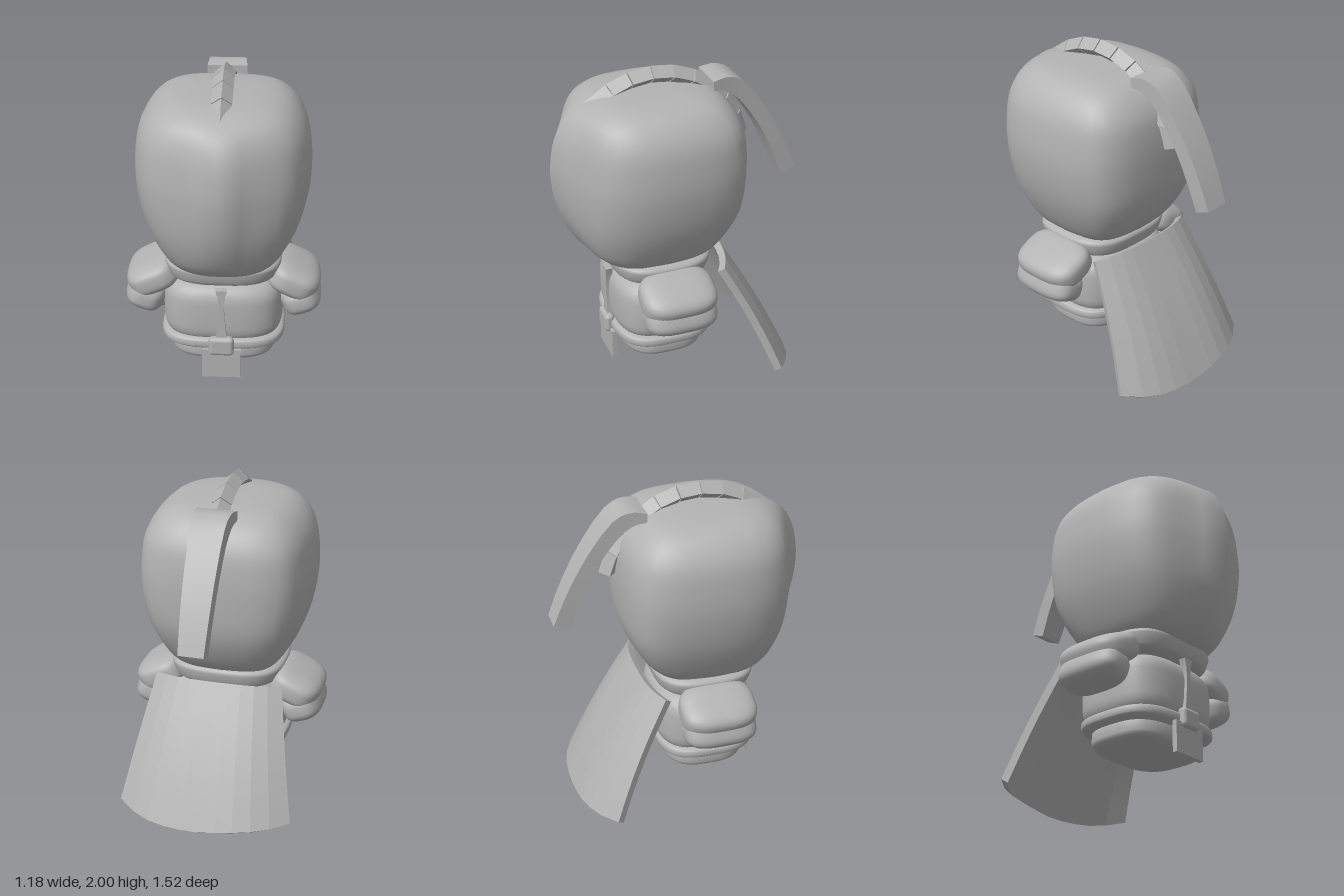
import * as THREE from 'three';
import { toCreasedNormals } from 'three/addons/utils/BufferGeometryUtils.js';
import { RoundedBoxGeometry } from 'three/addons/geometries/RoundedBoxGeometry.js';

const grey = new THREE.MeshStandardMaterial({ color: 0xb3b3b3 });
grey.name = 'matte grey';

// Closed skin through equal-length rings of [x, y, z]; end caps are fans,
// or strips across the ring when it is a thin sheet section.
function loft(rings, crease, stripCaps = false) {
  const n = rings[0].length, pos = [], idx = [];
  rings.forEach(r => r.forEach(p => pos.push(...p)));
  for (let i = 0; i < rings.length - 1; i++) {
    for (let j = 0; j < n; j++) {
      const a = i * n + j, b = i * n + (j + 1) % n;
      idx.push(a, b, a + n, b, b + n, a + n);
    }
  }
  [0, rings.length - 1].forEach(i => {
    const caps = [];
    if (stripCaps) {
      for (let j = 0; j < n / 2 - 1; j++) {
        const a = i * n + j, c = i * n + n - 1 - j;
        caps.push([a, a + 1, c], [a + 1, c - 1, c]);
      }
    } else {
      const m = pos.length / 3;
      pos.push(...[0, 1, 2].map(k => rings[i].reduce((s, p) => s + p[k], 0) / n));
      for (let j = 0; j < n; j++) caps.push([m, i * n + j, i * n + (j + 1) % n]);
    }
    caps.forEach(([a, b, c]) => idx.push(...(i === 0 ? [a, c, b] : [a, b, c])));
  });
  // Turn the skin outward if its signed volume is negative
  const v = k => new THREE.Vector3().fromArray(pos, idx[k] * 3);
  let volume = 0;
  for (let k = 0; k < idx.length; k += 3) volume += v(k).dot(v(k + 1).cross(v(k + 2)));
  if (volume < 0) idx.reverse();
  const geo = new THREE.BufferGeometry();
  geo.setAttribute('position', new THREE.Float32BufferAttribute(pos, 3));
  geo.setIndex(idx);
  geo.computeVertexNormals();
  return crease ? toCreasedNormals(geo, crease) : geo;
}

const spow = (v, e) => Math.sign(v) * Math.abs(v) ** e;

// Cushion shape: n squares the plan, m squares the upright section.
function puff(w, h, d, n, m, taper = 0) {
  const rings = [];
  for (let i = 0; i <= 24; i++) {
    const u = (i / 24 - 0.5) * Math.PI * 0.998;
    const y = spow(Math.sin(u), 2 / m);
    const s = Math.cos(u) ** (2 / m) * (1 + taper * y);
    rings.push(Array.from({ length: 48 }, (_, j) => {
      const a = (j / 48) * Math.PI * 2;
      return [w / 2 * s * spow(Math.cos(a), 2 / n), y * h / 2, -d / 2 * s * spow(Math.sin(a), 2 / n)];
    }));
  }
  return loft(rings);
}

// Catmull-Rom sampling of a short list of 3D points
const smooth = (pts, count) =>
  new THREE.CatmullRomCurve3(pts.map(p => new THREE.Vector3(...p)), false, 'centripetal').getPoints(count);

function headGeometry() {
  // Half plan from pointed front to back: x over half-width, z over front or back reach
  const half = smooth([[0, 0, 1], [0.24, 0, 0.87], [0.53, 0, 0.75], [0.76, 0, 0.635], [0.92, 0, 0.42],
    [1, 0, 0.08], [0.985, 0, -0.4], [0.9, 0, -0.72], [0.74, 0, -0.88], [0.45, 0, -0.97], [0, 0, -1]], 20)
    .filter((p, i) => i !== 1);
  const plan = [...half, ...half.slice(1, -1).reverse().map(p => new THREE.Vector3(-p.x, 0, p.z))];
  // Levels: height, half-width, front z, back z
  const levels = [[0.81, 0.01, 0.21, 0.19], [0.818, 0.22, 0.42, -0.03], [0.86, 0.312, 0.515, -0.165],
    [0.95, 0.378, 0.61, -0.25], [1.15, 0.465, 0.715, -0.345], [1.38, 0.508, 0.76, -0.37], [1.55, 0.505, 0.75, -0.367],
    [1.68, 0.482, 0.712, -0.345], [1.78, 0.425, 0.64, -0.285], [1.845, 0.34, 0.52, -0.2], [1.872, 0.22, 0.4, -0.06],
    [1.88, 0.01, 0.21, 0.19]];
  const fronts = smooth(levels.map(l => [l[0], l[1], l[2]]), 44);
  const backs = smooth(levels.map(l => [l[0], l[1], l[3]]), 44);
  return loft(fronts.map((l, i) => {
    const front = l.z - 0.2, back = 0.2 - backs[i].z;
    // The front point softens into a round plan towards crown and chin
    const soft = THREE.MathUtils.clamp((1 - front / 0.56) * 2.2, 0, 1);
    return plan.map(p => {
      const round = Math.max(0, 1 - Math.abs(p.x) ** 2.5) ** 0.4;
      const z = p.z > 0 ? front * THREE.MathUtils.lerp(p.z, round, soft) : back * p.z;
      return [p.x * l.y, l.x, 0.2 + z];
    });
  }));
}

// One diamond-section block of the crest between two angles about the head's arc
function crestBlock(a0, a1, w0, w1) {
  const ring = (deg, w) => {
    const a = THREE.MathUtils.degToRad(deg);
    const reach = 0.58 + Math.max(0, -deg - 54) * 0.0008 + Math.max(0, deg - 30) * 0.0006;
    return [[0, 0], [w, 0.055], [0, 0.105], [-w, 0.055]].map(([x, drop]) => {
      const r = reach - drop * (w / 0.06);
      return [x, 1.42 + r * Math.cos(a), 0.13 + r * Math.sin(a)];
    });
  };
  return loft([ring(a0, w0), ring(a1, w1)], 0.01);
}

// Tail plume: outer and inner curves in (z, y), narrowing to the tip
function plumeGeometry() {
  const outer = smooth([[0, 1.893, -0.2], [0, 1.907, -0.29], [0, 1.87, -0.385], [0, 1.66, -0.55], [0, 1.42, -0.68], [0, 1.225, -0.76]], 12);
  const inner = smooth([[0, 1.835, -0.2], [0, 1.825, -0.27], [0, 1.76, -0.36], [0, 1.57, -0.5], [0, 1.37, -0.6], [0, 1.19, -0.67]], 12);
  return loft(outer.map((o, i) => {
    const w = 0.118 - 0.043 * i / 12, q = inner[i];
    return [[w, o.y, o.z], [-w, o.y, o.z], [-w, q.y, q.z], [w, q.y, q.z]];
  }), 0.4);
}

// Cape: flared sheet curved around the back, with real thickness and a wavy hem
function capeGeometry() {
  const cols = 10, rings = [];
  for (let i = 0; i <= 8; i++) {
    const t = i / 8, ring = [];
    const put = (j, inset) => {
      const s = j / cols * 2 - 1, c = Math.abs(s) ** 3;
      const hem = t * (0.05 * c + 0.025 * Math.max(0, -Math.sin(s * Math.PI)));
      const z = -0.255 - 0.425 * t - 0.02 * Math.sin(Math.PI * t) + c * (0.08 + 0.085 * t);
      ring.push([s * (0.39 + 0.14 * t - inset * 0.5 * c), 0.82 - 0.794 * t + hem - 0.02 * c * (1 - t) - inset * 0.7, z + inset]);
    };
    for (let j = 0; j <= cols; j++) put(j, 0);
    for (let j = cols; j >= 0; j--) put(j, 0.036);
    rings.push(ring);
  }
  return loft(rings, 0.05, true);
}

// Front strip, pinched in the middle
function placketGeometry() {
  return loft([[0.38, 0.036], [0.48, 0.024], [0.6, 0.015], [0.68, 0.022], [0.725, 0.034]].map(([y, w]) =>
    [[w, y, 0.452], [-w, y, 0.452], [-w, y, 0.41], [w, y, 0.41]]), 0.4);
}

export function createModel() {
  const model = new THREE.Group();
  const add = (name, geo, x = 0, y = 0, z = 0, tilt = 0, parent = model) => {
    const mesh = new THREE.Mesh(geo, grey);
    mesh.name = name;
    mesh.position.set(x, y, z);
    mesh.rotation.z = tilt;
    parent.add(mesh);
  };

  add('head', headGeometry());

  // Torso stack
  add('collar', puff(0.69, 0.16, 0.61, 3, 4, 0.07), 0, 0.797, 0.137);
  add('torso', puff(0.725, 0.42, 0.6, 3.2, 4), 0, 0.53, 0.133);
  add('belt', puff(0.75, 0.1, 0.61, 3.2, 3.6), 0, 0.35, 0.138);
  add('hips', puff(0.64, 0.17, 0.51, 3, 3.6), 0, 0.275, 0.135);
  add('placket', placketGeometry());
  add('buckle', new RoundedBoxGeometry(0.15, 0.12, 0.06, 3, 0.025), 0, 0.35, 0.447);
  add('frontFlap', new THREE.BoxGeometry(0.235, 0.19, 0.03), 0, 0.225, 0.436);

  // Arms
  for (const side of [1, -1]) {
    const arm = new THREE.Group();
    arm.name = side > 0 ? 'leftArm' : 'rightArm';
    add('sleeve', puff(0.335, 0.195, 0.46, 3, 3.2), side * 0.42, 0.705, 0.137, side * -0.44, arm);
    add('hand', puff(0.245, 0.2, 0.44, 3, 3), side * 0.465, 0.588, 0.137, side * 0.36, arm);
    model.add(arm);
  }

  // Crest of separate blocks, pointed at the front
  const crest = new THREE.Group();
  crest.name = 'crest';
  model.add(crest);
  add('crestTip', crestBlock(29.6, 46, 0.06, 0.008), 0, 0, 0, 0, crest);
  for (let i = 0; i < 8; i++) {
    const a = 29 - i * 14;
    add('crestBlock', crestBlock(a, a - 13.2, 0.06, 0.06), 0, 0, 0, 0, crest);
  }

  add('plume', plumeGeometry());
  add('cape', capeGeometry());
  return model;
}
